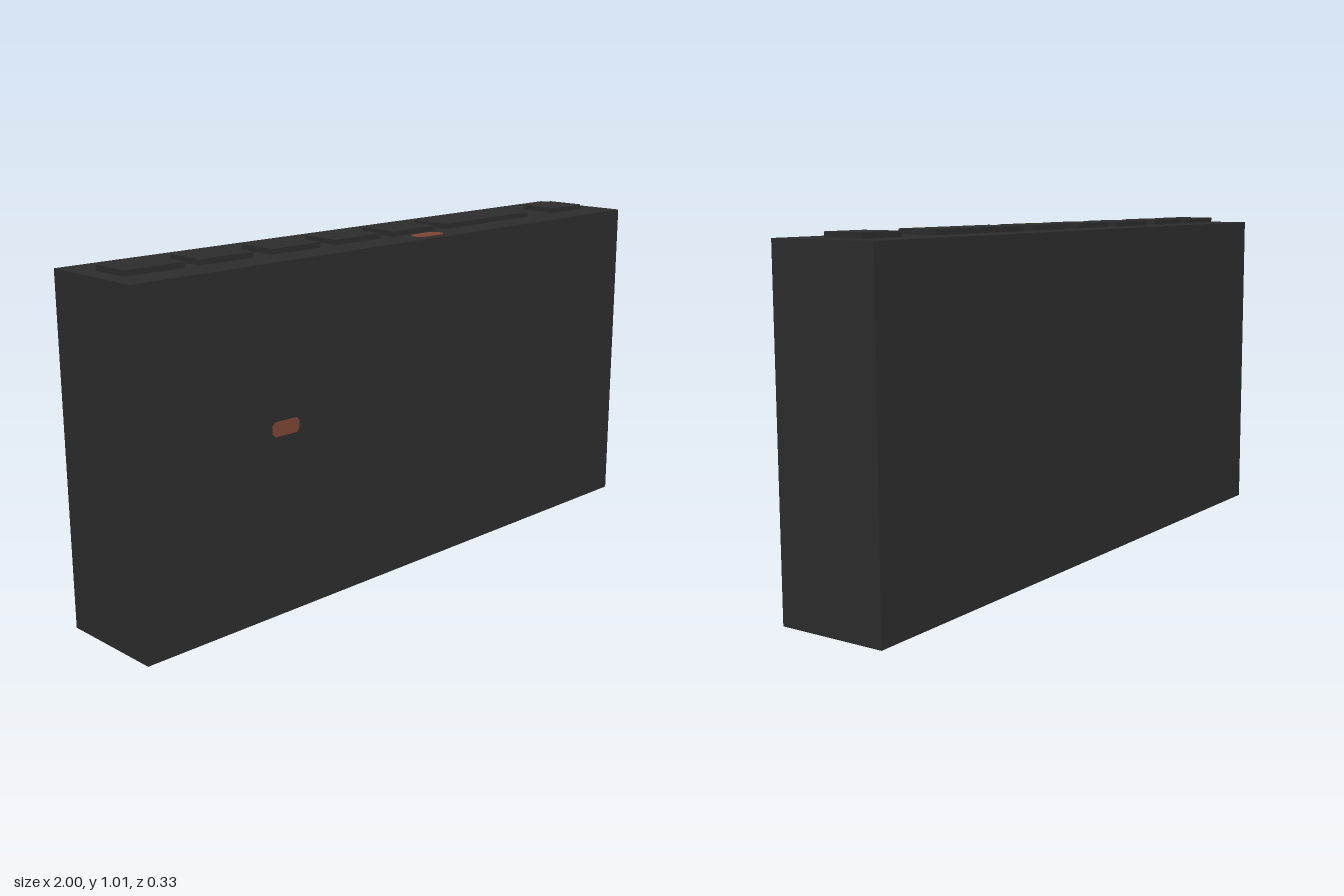
import * as THREE from 'three';

const HEIGHT = 0.997;
const DEPTH = 0.332;

export function createModel() {
  const model = new THREE.Group();
  const charcoal = new THREE.MeshStandardMaterial({ color: 0x2d2d2d });
  charcoal.name = 'charcoal';
  const rust = new THREE.MeshStandardMaterial({ color: 0x7d4634 });
  rust.name = 'rust';

  // Box spanning x0..x1 and y0..y1, centred at z
  function block(name, x0, x1, y0, y1, depth, z) {
    const mesh = new THREE.Mesh(new THREE.BoxGeometry(x1 - x0, y1 - y0, depth), charcoal);
    mesh.name = name;
    mesh.position.set((x0 + x1) / 2, (y0 + y1) / 2, z);
    model.add(mesh);
  }

  // Thin patch with clipped corners, facing +z
  function patch(name, w, h, cut, slot) {
    const a = w / 2, b = h / 2;
    const shape = new THREE.Shape([
      [-a + cut, -b], [a - cut, -b], [a, -b + cut], [a, b - cut],
      [a - cut, b], [-a + cut, b], [-a, b - cut], [-a, -b + cut],
    ].map(([x, y]) => new THREE.Vector2(x, y)));
    if (slot) {
      shape.holes.push(new THREE.Path(slot.map(([x, y]) => new THREE.Vector2(x, y))));
    }
    const mesh = new THREE.Mesh(
      new THREE.ExtrudeGeometry(shape, { depth: 0.002, bevelEnabled: false }), rust);
    mesh.name = name;
    model.add(mesh);
    return mesh;
  }

  // Main slab
  block('body', -1, 1, 0, HEIGHT, DEPTH, 0);

  // Raised keys along the top
  const keys = [
    [-0.945, -0.76], [-0.712, -0.532], [-0.47, -0.288], [-0.231, -0.05],
    [0.003, 0.185], [0.23, 0.633], [0.77, 0.918],
  ];
  keys.forEach(([x0, x1], i) =>
    block(`topKey${i + 1}`, x0, x1, HEIGHT - 0.01, 1.013, 0.126, 0.003));

  // Rust patch on the front face
  patch('frontRustPatch', 0.096, 0.042, 0.01).position.set(-0.516, 0.542, DEPTH / 2);

  // Rust patch on the top face, with a small slot
  const topPatch = patch('topRustPatch', 0.112, 0.053, 0.016,
    [[-0.038, -0.011], [-0.02, -0.015], [0, -0.011], [-0.02, -0.007]]);
  topPatch.rotation.x = -Math.PI / 2;
  topPatch.position.set(0.104, HEIGHT, 0.109);

  return model;
}
